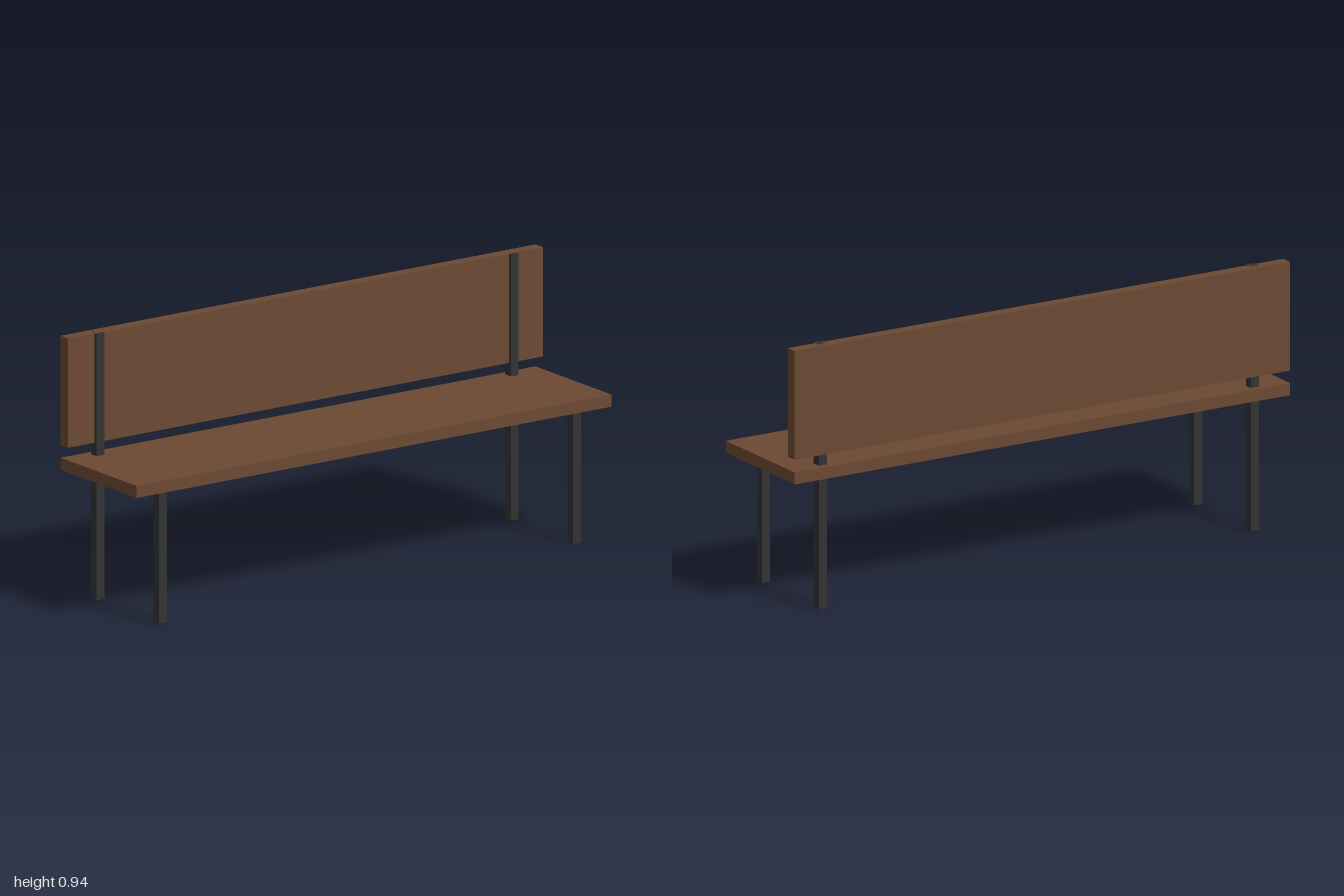
import * as THREE from 'three';

export function createModel() {
  const model = new THREE.Group();
  model.name = 'bench';

  const wood = new THREE.MeshStandardMaterial({ color: 0x6b4932 });
  wood.name = 'brown wood';
  const metal = new THREE.MeshStandardMaterial({ color: 0x333333 });
  metal.name = 'dark metal';

  // Box given by its width, depth, bottom and top heights, and centre in x and z
  function addBox(name, material, width, depth, bottom, top, x, z) {
    const mesh = new THREE.Mesh(new THREE.BoxGeometry(width, top - bottom, depth), material);
    mesh.name = name;
    mesh.position.set(x, (bottom + top) / 2, z);
    model.add(mesh);
  }

  // Seat and backrest planks
  addBox('seat', wood, 2, 0.444, 0.469, 0.512, 0, 0);
  addBox('backrest', wood, 2, 0.044, 0.557, 0.945, 0, -0.2);

  // Short front legs, and rear posts that run up to the top of the backrest
  for (const [side, x] of [['left', 0.872], ['right', -0.872]]) {
    addBox(side + 'FrontLeg', metal, 0.033, 0.033, 0, 0.469, x, 0.183);
    addBox(side + 'RearPost', metal, 0.033, 0.033, 0, 0.945, x, -0.183);
  }

  return model;
}
